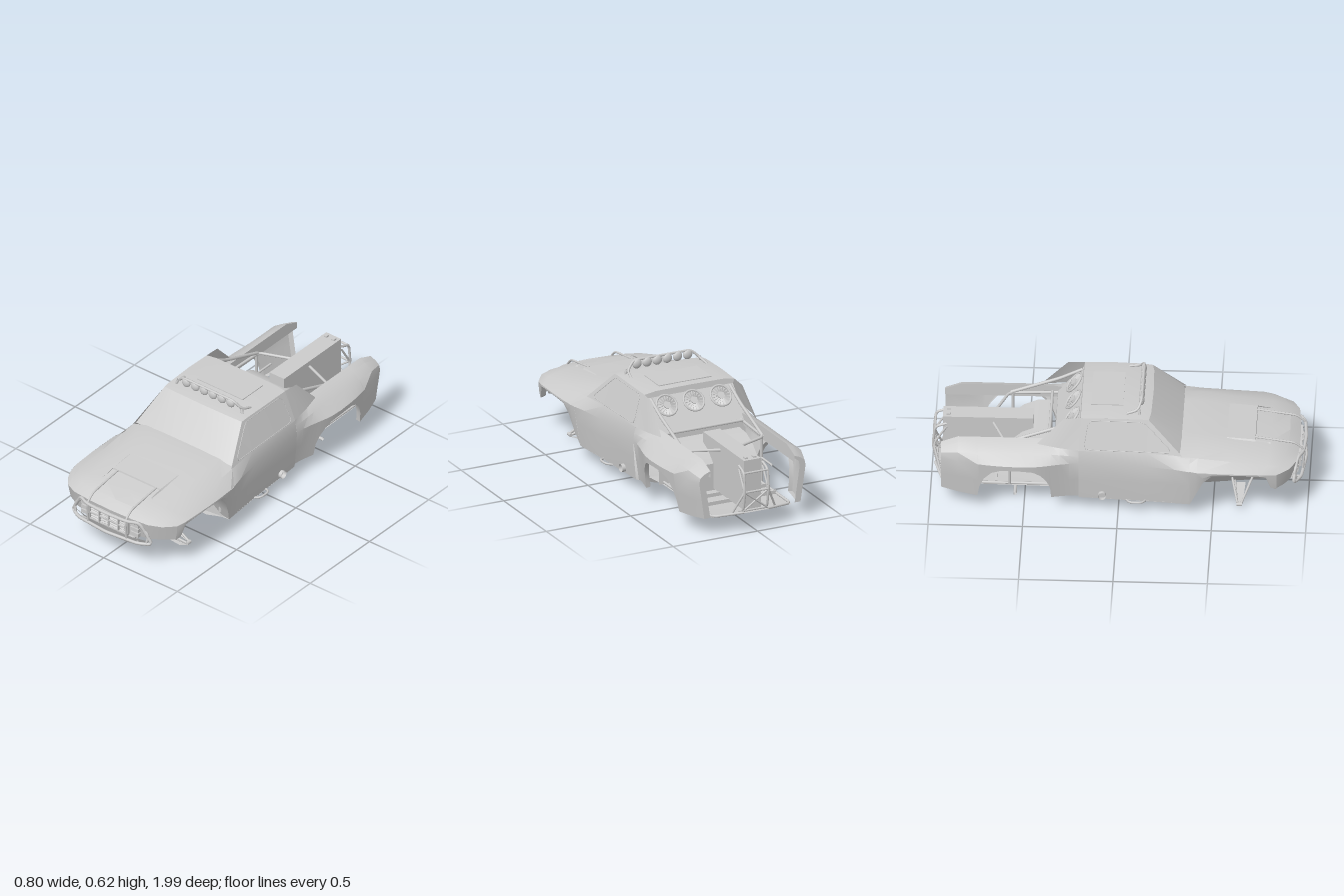
import * as THREE from 'three';
import { toCreasedNormals } from 'three/addons/utils/BufferGeometryUtils.js';

const mat = new THREE.MeshStandardMaterial({ color: 0xcccccc, side: THREE.DoubleSide });

export function createModel() {
  const truck = new THREE.Group();

  const add = (name, geo, parent = truck) => {
    const m = new THREE.Mesh(geo, mat);
    m.name = name;
    parent.add(m);
    return m;
  };
  const box = (name, w, h, d, x, y, z, parent) => {
    const m = add(name, new THREE.BoxGeometry(w, h, d), parent);
    m.position.set(x, y, z);
    return m;
  };
  // Skin stretched over rows of [x, y, z] points
  const skin = (name, rows, parent, crease = 0.5) => {
    const n = rows[0].length, idx = [];
    for (let i = 0; i < rows.length - 1; i++)
      for (let j = 0; j < n - 1; j++) {
        const a = i * n + j, b = a + n;
        idx.push(a, b, a + 1, b, b + 1, a + 1);
      }
    const g = new THREE.BufferGeometry();
    g.setAttribute('position', new THREE.Float32BufferAttribute(rows.flat(2), 3));
    g.setIndex(idx);
    return add(name, toCreasedNormals(g, crease), parent);
  };
  // Row given from the centre line outwards, completed by its mirror image
  const full = (row) => [...row.slice(1).reverse().map(([x, y, z]) => [-x, y, z]), ...row];
  // Bent pipe through points, with slightly rounded corners
  const pipe = (name, pts, r = 0.007, parent = truck, closed = false) => {
    const v = pts.map((p) => new THREE.Vector3(...p)), path = new THREE.CurvePath(), n = v.length;
    const near = (a, b) => a.clone().lerp(b, Math.min(0.4, 0.025 / a.distanceTo(b)));
    let at = closed ? near(v[0], v[1]) : v[0];
    for (let i = 1; i < (closed ? n + 1 : n - 1); i++) {
      const c = v[i % n], p = near(c, v[i - 1]), q = near(c, v[(i + 1) % n]);
      path.add(new THREE.LineCurve3(at, p));
      path.add(new THREE.QuadraticBezierCurve3(p, c, q));
      at = q;
    }
    if (!closed) path.add(new THREE.LineCurve3(at, v[n - 1]));
    return add(name, new THREE.TubeGeometry(path, n * 10, r, 8, false), parent);
  };
  // Everything in a side group is built for the left and mirrored to the right
  const sides = [1, -1].map((s) => {
    const g = new THREE.Group();
    g.name = s > 0 ? 'leftSide' : 'rightSide';
    g.scale.x = s;
    truck.add(g);
    return g;
  });
  const both = (fn) => sides.forEach(fn);

  // Hood and nose
  skin('hood', [
    [[0, .29, .955], [.15, .29, .95], [.25, .29, .94], [.32, .287, .905], [.37, .28, .84]],
    [[0, .325, .9], [.15, .325, .895], [.25, .318, .88], [.325, .305, .855], [.385, .288, .8]],
    [[0, .347, .8], [.15, .347, .8], [.25, .337, .8], [.335, .32, .79], [.395, .295, .74]],
    [[0, .37, .6], [.15, .37, .6], [.25, .36, .6], [.335, .335, .6], [.40, .298, .6]],
    [[0, .393, .42], [.15, .393, .42], [.25, .386, .42], [.335, .352, .42], [.397, .30, .42]],
    [[0, .393, .33], [.15, .392, .33], [.25, .388, .33], [.335, .362, .33], [.375, .30, .33]],
  ].map(full), truck, 0.35);
  skin('noseFascia', [
    [[0, .29, .955], [.15, .29, .95], [.25, .29, .94], [.32, .287, .905], [.37, .28, .84]],
    [[0, .175, .93], [.15, .175, .925], [.25, .185, .91], [.32, .195, .88], [.36, .185, .83]],
  ].map(full));
  skin('lowerBumper', [
    [[0, .175, .955], [.15, .175, .95], [.25, .175, .925]],
    [[0, .105, .925], [.1, .105, .92], [.135, .105, .91]],
    [[0, .105, .86], [.1, .105, .86], [.135, .105, .86]],
  ].map(full));
  skin('hoodScoop', [
    [[0, .33, .728], [.16, .33, .728], [.168, .33, .728]],
    [[0, .365, .72], [.16, .364, .72], [.17, .35, .72]],
    [[0, .376, .57], [.16, .375, .57], [.17, .368, .57]],
  ].map(full));
  both((g) => skin('scoopCheek', [
    [[.16, .364, .72], [.172, .34, .72]],
    [[.16, .35, .8], [.172, .345, .8]],
  ], g));

  // Grille with slats and lamps
  for (const y of [.185, .225, .265]) box('grilleRail', .26, .006, .015, 0, y, .955);
  for (let i = 0; i < 5; i++) box('grillePost', .007, .085, .018, -.128 + i * .064, .225, .955);
  for (let i = 0; i < 4; i++)
    for (let k = 0; k < 6; k++) {
      const s = box('grilleSlat', .056, .003, .012, -.096 + i * .064, .192 + k * .0125, .95);
      s.rotation.set(.5, 0, i % 2 ? .12 : -.12);
    }
  both((g) => {
    for (let k = 0; k < 3; k++) box('headlamp', .055, .022, .02, .166, .2 + k * .029, .94, g);
  });

  // Front bull bar
  pipe('bullBar', [
    [.27, .165, .925], [.2, .165, .965], [0, .165, .985], [-.2, .165, .965], [-.27, .165, .925],
    [-.2, .283, .945], [-.14, .283, .975], [0, .283, .985], [.14, .283, .975], [.2, .283, .945],
  ], .009, truck, true);
  both((g) => {
    pipe('bullBarUpright', [[.13, .165, .97], [.13, .285, .98], [.13, .33, .93], [.13, .36, .72]], .006, g);
    pipe('bullBarBrace', [[.18, .283, .95], [.25, .22, .93], [.24, .165, .94]], .007, g);
    pipe('bullBarMount', [[.2, .165, .96], [.13, .12, .88]], .007, g);
  });

  // Windshield, roof and hatch
  skin('windshield', [
    [[0, .39, .335], [.2, .388, .335], [.325, .37, .325]],
    [[0, .548, .175], [.2, .546, .17], [.262, .54, .16]],
  ].map(full));
  skin('roof', [
    [[0, .548, .175], [.2, .546, .17], [.262, .54, .16]],
    [[0, .557, .12], [.2, .555, .12], [.264, .545, .12]],
    [[0, .56, -.05], [.2, .558, -.05], [.268, .548, -.05]],
    [[0, .558, -.2], [.2, .556, -.2], [.266, .546, -.2]],
    [[0, .525, -.205], [.2, .525, -.205], [.255, .52, -.205]],
  ].map(full));
  box('roofHatch', .31, .005, .17, 0, .56, -.065);

  // Rear arch outline, as [z, lower edge]
  const rear = [[-.21, .08], [-.26, .081], [-.31, .082], [-.355, .083], [-.36, .15], [-.38, .2], [-.41, .24],
    [-.45, .268], [-.52, .277], [-.62, .275], [-.67, .255], [-.71, .21], [-.735, .15], [-.745, .085],
    [-.85, .092], [-.94, .102]];
  const { smoothstep, lerp } = THREE.MathUtils;
  const width = (z) => z > -.5 ? lerp(.39, .338, smoothstep(z, -.5, -.2))
    : .39 - .075 * ((-z - .5) / .44) ** 2;
  // Section of the bed side: inner lip, sloping top, shoulder, wall and lower return
  const bedRow = ([z, low]) => {
    const w = width(z), k = smoothstep(-z, .2, .4), drop = .035 * smoothstep(-z, .87, .94);
    const out = w - .03 * (.3 - low) / .2;
    return [[.25, .33, z], [.25, lerp(.38, .402, k) - drop, z], [lerp(.325, .285, k), lerp(.377, .388, k) - drop, z],
      [Math.min(.333, w - .006), lerp(.345, .355, k) - drop * .6, z], [w, .305, z],
      [(w + out) / 2, (.305 + low) / 2, z], [out, low, z], [out - .025, low + .004, z]];
  };

  both((g) => {
    // Front fender and rear of the wheel well, as [z, top x, top y, low x, low y, inner x, inner y]
    skin('frontFender', [
      [.84, .37, .28, .358, .185, .33, .19], [.81, .382, .286, .37, .2, .34, .21], [.785, .389, .29, .38, .265, .35, .27],
      [.74, .395, .295, .39, .278, .36, .283], [.6, .40, .298, .395, .285, .365, .29], [.5, .40, .299, .394, .28, .3, .29],
      [.45, .398, .3, .385, .23, .2, .25], [.41, .397, .3, .37, .14, .25, .16], [.38, .39, .3, .352, .07, .3, .08],
    ].map(([z, a, b, c, d, e, f]) => [[a, b, z], [(a + c) / 2 + .003, (b + d) / 2, z], [c, d, z], [e, f, z]]), g);
    // Door and rocker
    skin('door', [
      [[.335, .355, .38], [.39, .3, .38], [.375, .2, .38], [.352, .07, .38], [.3, .065, .38]],
      [[.333, .365, .3], [.37, .3, .3], [.36, .2, .3], [.345, .07, .3], [.3, .065, .3]],
      [[.327, .372, .15], [.347, .3, .15], [.345, .2, .15], [.335, .072, .15], [.3, .065, .15]],
      [[.326, .377, -.21], [.338, .3, -.21], [.333, .2, -.21], [.322, .08, -.21], [.3, .07, -.21]],
    ], g);
    skin('sideWindow', [
      [[.335, .362, .34], [.262, .54, .16]],
      [[.327, .372, .15], [.264, .545, .12]],
      [[.326, .377, -.21], [.266, .546, -.2]],
    ], g);
    pipe('windowTrim', [[.328, .378, .29], [.268, .53, .135], [.272, .535, -.16], [.325, .385, -.185]], .002, g, true);
    skin('sailPanel', [
      [[.326, .377, -.2], [.266, .546, -.2]],
      [[.31, .382, -.32], [.268, .54, -.29]],
      [[.285, .388, -.43], [.283, .392, -.43]],
    ], g);
    // Bed side with wheel arch and a narrow return at the tail
    const rows = rear.map(bedRow);
    skin('bedSide', [...rows, rows.at(-1).map(([x, y, z]) => [Math.max(.25, x - .035), y, z])], g, 0.4);
    // Step loop and exhaust
    pipe('stepLoop', [[.32, .075, .15], [.365, .082, .13], [.365, .082, .06], [.32, .075, .04]], .006, g);
    const ex = add('exhaust', new THREE.CylinderGeometry(.022, .022, .03, 16, 1, true), g);
    ex.position.set(.335, .105, -.085);
    ex.rotation.z = Math.PI / 2;
    // Front suspension arms
    for (const s of [-1, 1]) {
      pipe('upperArm', [[.09, .1, .65 + s * .06], [.28, .035, .64 + s * .01]], .006, g);
      pipe('middleArm', [[.1, .06, .65 + s * .04], [.285, .032, .64 + s * .01]], .005, g);
    }
    skin('armPlate', [
      [[.07, .03, .665], [.235, .004, .655], [.285, .022, .65]],
      [[.07, .03, .615], [.235, .004, .625], [.285, .022, .63]],
    ], g);
    const joint = add('armJoint', new THREE.CylinderGeometry(.01, .01, .03, 12), g);
    joint.position.set(.285, .033, .64);
    joint.rotation.x = Math.PI / 2;
    pipe('wellStrut', [[.31, .2, .4], [.31, .115, .4]], .01, g);
    // Bed cage
    pipe('bedRail', [[.235, .37, -.34], [.235, .36, -.6], [.055, .36, -.67]], .008, g);
    pipe('lowerRail', [[.23, .1, -.34], [.23, .1, -.93], [.07, .115, -.98]], .007, g);
    pipe('backStay', [[.235, .52, -.21], [.235, .46, -.33], [.235, .365, -.59]], .009, g);
    pipe('cagePost', [[.235, .1, -.58], [.235, .36, -.58]], .008, g);
    pipe('cageBar', [[.235, .235, -.58], [.235, .235, -.7]], .006, g);
    pipe('tailHoop', [[.07, .36, -.92], [.07, .34, -.98], [.07, .23, -.992], [.07, .12, -.97], [.07, .1, -.92]], .007, g);
    pipe('tailBrace', [[.13, .105, -.95], [.07, .23, -.988], [.07, .34, -.92]], .006, g);
  });

  // Roof light bar
  pipe('lightBar', [[-.225, .555, .04], [-.215, .57, .1], [-.17, .615, .12], [.17, .615, .12], [.215, .57, .1], [.225, .555, .04]], .007);
  both((g) => pipe('lightBarFoot', [[.215, .575, .105], [.225, .55, .11]], .008, g));
  for (let i = 0; i < 6; i++) {
    const lamp = add('roofLamp', new THREE.SphereGeometry(.027, 20, 12));
    lamp.scale.z = .55;
    lamp.position.set(-.15 + i * .06, .593, .118);
  }

  // Sloped rear cab panel carrying three fans
  skin('rearCabPanel', [
    [[0, .525, -.205], [.255, .525, -.205]],
    [[0, .37, -.34], [.26, .37, -.34]],
    [[0, .09, -.36], [.26, .09, -.36]],
  ].map(full));
  for (const x of [-.16, 0, .16]) {
    const fan = new THREE.Group();
    fan.name = 'coolingFan';
    fan.position.set(x, .487, -.252);
    fan.rotation.x = -2.43;
    truck.add(fan);
    add('fanRing', new THREE.TorusGeometry(.058, .006, 8, 32), fan);
    add('fanHub', new THREE.CylinderGeometry(.02, .02, .014, 16), fan).rotation.x = Math.PI / 2;
    for (let k = 0; k < 18; k++) {
      const arm = new THREE.Group();
      arm.rotation.z = k * Math.PI / 9;
      fan.add(arm);
      box('fanBlade', .04, .011, .002, .037, 0, 0, arm).rotation.x = .5;
    }
  }
  pipe('bedCrossBar', [[-.235, .375, -.37], [.235, .375, -.37]], .008);
  for (const [y, z] of [[.12, -.97], [.23, -.99], [.335, -.98]]) pipe('tailCrossBar', [[-.07, y, z], [.07, y, z]], .006);
  for (const s of [-1, 1]) pipe('tailDiagonal', [[-.07 * s, .12, -.972], [.07 * s, .23, -.99]], .005);

  // Fuel cell, central box and bed floor
  skin('fuelCell', [
    [[0, .1, -.37], [.21, .1, -.37]], [[0, .34, -.37], [.21, .34, -.37]], [[0, .335, -.45], [.21, .335, -.45]],
    [[0, .305, -.52], [.21, .305, -.52]], [[0, .25, -.58], [.21, .25, -.58]], [[0, .1, -.58], [.21, .1, -.58]],
  ].map(full));
  box('centralBox', .1, .28, .48, 0, .25, -.7);
  for (const x of [-.025, .025]) box('boxCap', .018, .01, .022, x, .393, -.91);
  for (const z of [-.76, -.65]) box('floorRib', .46, .02, .012, 0, .105, z);
  skin('bedFloor', [
    [[0, .07, -.2], [.24, .075, -.2]], [[0, .09, -.36], [.24, .09, -.36]],
    [[0, .095, -.93], [.235, .095, -.93]], [[0, .11, -.98], [.07, .11, -.98]],
  ].map(full));

  // Underbody pan, front tub and firewall
  skin('bellyPan', [
    [[0, .032, .38], [.2, .036, .38], [.3, .065, .38], [.35, .075, .38]],
    [[0, .032, -.2], [.2, .036, -.2], [.3, .07, -.2], [.322, .08, -.2]],
    [[0, .07, -.21], [.2, .07, -.21], [.3, .075, -.21], [.322, .08, -.21]],
  ].map(full));
  skin('frontTub', [
    [[0, .1, .91], [.1, .1, .91], [.14, .15, .88], [.2, .28, .86]],
    [[0, .033, .65], [.055, .033, .65], [.16, .145, .65], [.2, .345, .65]],
    [[0, .032, .38], [.1, .036, .38], [.21, .14, .38], [.22, .36, .38]],
  ].map(full), truck, 0.2);
  skin('firewall', [[[0, .34, .375], [.33, .33, .375]], [[0, .2, .375], [.36, .2, .375]], [[0, .035, .375], [.345, .07, .375]]].map(full));

  // Drive shaft, differential and axle
  pipe('driveShaft', [[0, .065, -.2], [0, .035, -.55]], .008);
  add('differential', new THREE.SphereGeometry(.032, 20, 14)).position.set(0, .037, -.55);
  both((g) => {
    const cone = add('axleCone', new THREE.CylinderGeometry(.009, .026, .06, 16), g);
    cone.position.set(.045, .037, -.55);
    cone.rotation.z = -Math.PI / 2;
  });
  pipe('rearAxle', [[-.24, .037, -.55], [.24, .037, -.55]], .009);
  return truck;
}
